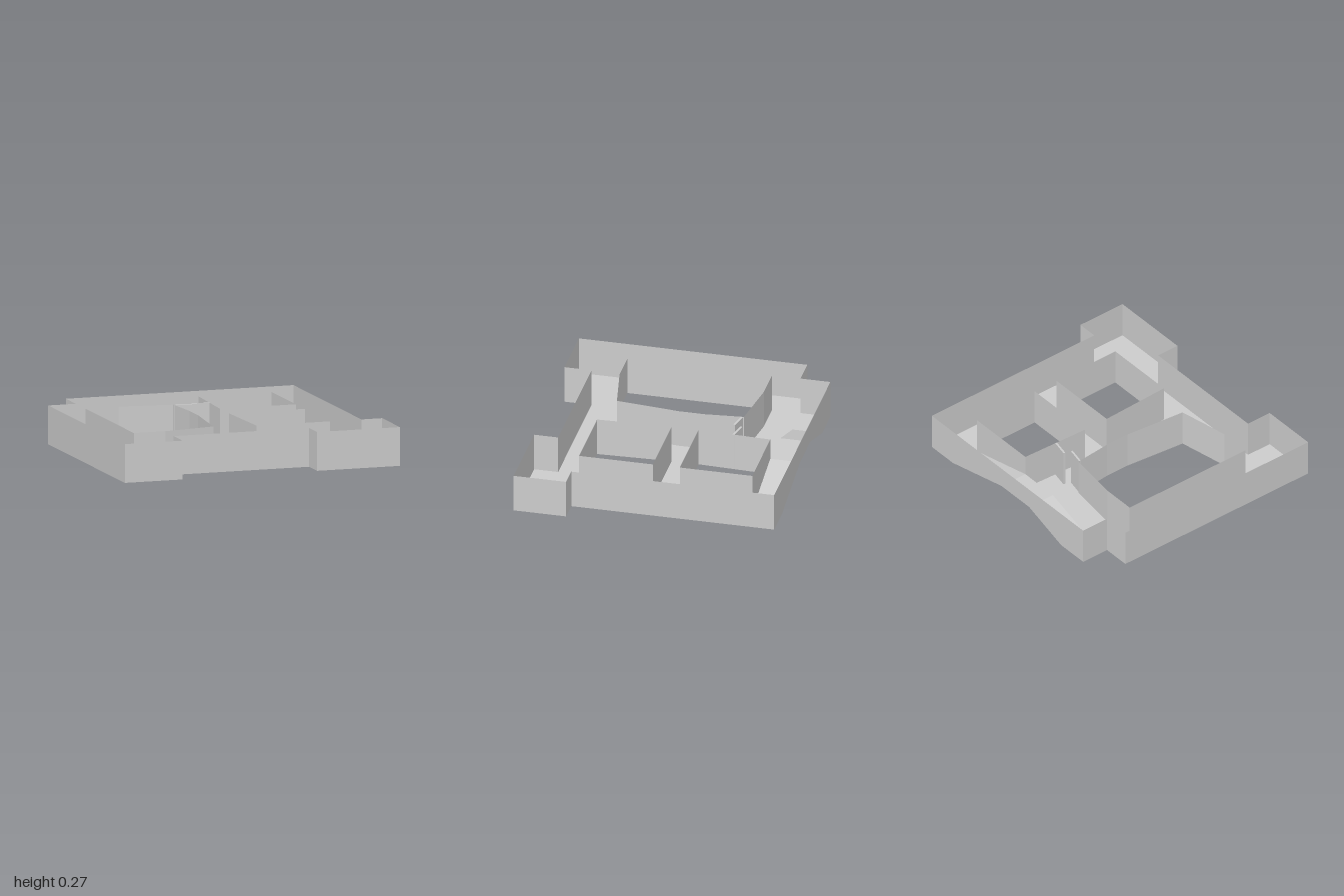
import * as THREE from 'three';

const HEIGHT = 0.27, DECK = 0.12, STRIP_Z = -0.7, BACK_Z = -0.91;

// Plan outlines as [x, z]
const OUTER = [
  [-0.8, BACK_Z], [-0.56, BACK_Z], [-0.21, BACK_Z], [0.09, BACK_Z], [0.62, BACK_Z], [0.85, BACK_Z],
  [0.85, 0.52], [1, 0.52], [1, 0.89], [0.4, 0.89], [0.4, 0.72], [-0.58, 0.72],
  [-0.58, 0.91], [-1, 0.91], [-1, STRIP_Z], [-0.8, STRIP_Z],
];
const LARGE_WELL = [
  [-0.8, -0.5], [-0.56, -0.5], [-0.18, -0.45], [-0.155, -0.18],
  [-0.155, 0], [-0.2, 0.45], [-0.57, 0.52], [-0.8, 0.52],
];
const BACK_WELL = [[0.62, STRIP_Z], [0.09, STRIP_Z], [0.08, -0.45], [0.07, -0.19], [0.62, -0.19]];
const FRONT_WELL = [[0.07, 0], [0.62, 0], [0.62, 0.52], [0.09, 0.52]];

// Raised walkway along the back: ramp up, level deck, ramp down
const DECK_PROFILE = [[-0.56, 0], [-0.21, DECK], [0.09, DECK], [0.62, 0]];

function deckY(x) {
  for (let i = 0; i < 3; i++) {
    const [x0, y0] = DECK_PROFILE[i], [x1, y1] = DECK_PROFILE[i + 1];
    if (x >= x0 && x <= x1) return y0 + (y1 - y0) * (x - x0) / (x1 - x0);
  }
  return 0;
}

// Flat-shaded sheet made of separate four-cornered panels
function panels(quads) {
  const pos = [];
  for (const [a, b, c, d] of quads) pos.push(...a, ...b, ...c, ...a, ...c, ...d);
  const geo = new THREE.BufferGeometry();
  geo.setAttribute('position', new THREE.Float32BufferAttribute(pos, 3));
  geo.computeVertexNormals();
  return geo;
}

// Upright walls round a closed outline, following the raised walkway below them
function walls(outline) {
  return panels(outline.map(([x0, z0], i) => {
    const [x1, z1] = outline[(i + 1) % outline.length];
    const onStrip = z0 <= STRIP_Z && z1 <= STRIP_Z;
    const y0 = onStrip ? deckY(x0) : 0, y1 = onStrip ? deckY(x1) : 0;
    return [[x0, y0, z0], [x0, HEIGHT, z0], [x1, HEIGHT, z1], [x1, y1, z1]];
  }));
}

const toPlan = (pts) => pts.map(([x, z]) => new THREE.Vector2(x, -z));

export function createModel() {
  const group = new THREE.Group();
  const material = new THREE.MeshStandardMaterial({
    color: 0xcccccc, flatShading: true, side: THREE.DoubleSide,
  });
  const add = (name, geometry) => {
    const mesh = new THREE.Mesh(geometry, material);
    mesh.name = name;
    group.add(mesh);
    return mesh;
  };

  // Ground floor, cut away under the raised walkway
  const floor = new THREE.Shape(toPlan([
    [-0.8, BACK_Z], [-0.56, BACK_Z], [-0.56, STRIP_Z],
    ...BACK_WELL.slice(1), [0.62, BACK_Z], ...OUTER.slice(5),
  ]));
  floor.holes = [LARGE_WELL, FRONT_WELL].map((h) => new THREE.Path(toPlan(h)));
  add('floor', new THREE.ShapeGeometry(floor).rotateX(-Math.PI / 2));

  // Walkway with its two ramps, and the step down to the floor
  const deck = [], step = [];
  for (let i = 0; i < 3; i++) {
    const [x0, y0] = DECK_PROFILE[i], [x1, y1] = DECK_PROFILE[i + 1];
    deck.push([[x0, y0, BACK_Z], [x0, y0, STRIP_Z], [x1, y1, STRIP_Z], [x1, y1, BACK_Z]]);
    if (i < 2) step.push([[x0, 0, STRIP_Z], [x1, 0, STRIP_Z], [x1, y1, STRIP_Z], [x0, y0, STRIP_Z]]);
  }
  add('raisedWalkway', panels(deck));
  add('walkwayStep', panels(step));

  // Walls
  add('outerWalls', walls(OUTER));
  add('largeWellWalls', walls(LARGE_WELL));
  add('backWellWalls', walls(BACK_WELL));
  add('frontWellWalls', walls(FRONT_WELL));

  // Pair of thin slanted doors across the passage
  const doors = [['rightDoor', -0.178, -0.437, -0.058, -0.411], ['leftDoor', -0.043, -0.464, 0.079, -0.438]];
  for (const [name, x0, z0, x1, z1] of doors) {
    const door = add(name, new THREE.BoxGeometry(Math.hypot(x1 - x0, z1 - z0), HEIGHT, 0.014));
    door.position.set((x0 + x1) / 2, HEIGHT / 2, (z0 + z1) / 2);
    door.rotation.y = -Math.atan2(z1 - z0, x1 - x0);
  }
  return group;
}
